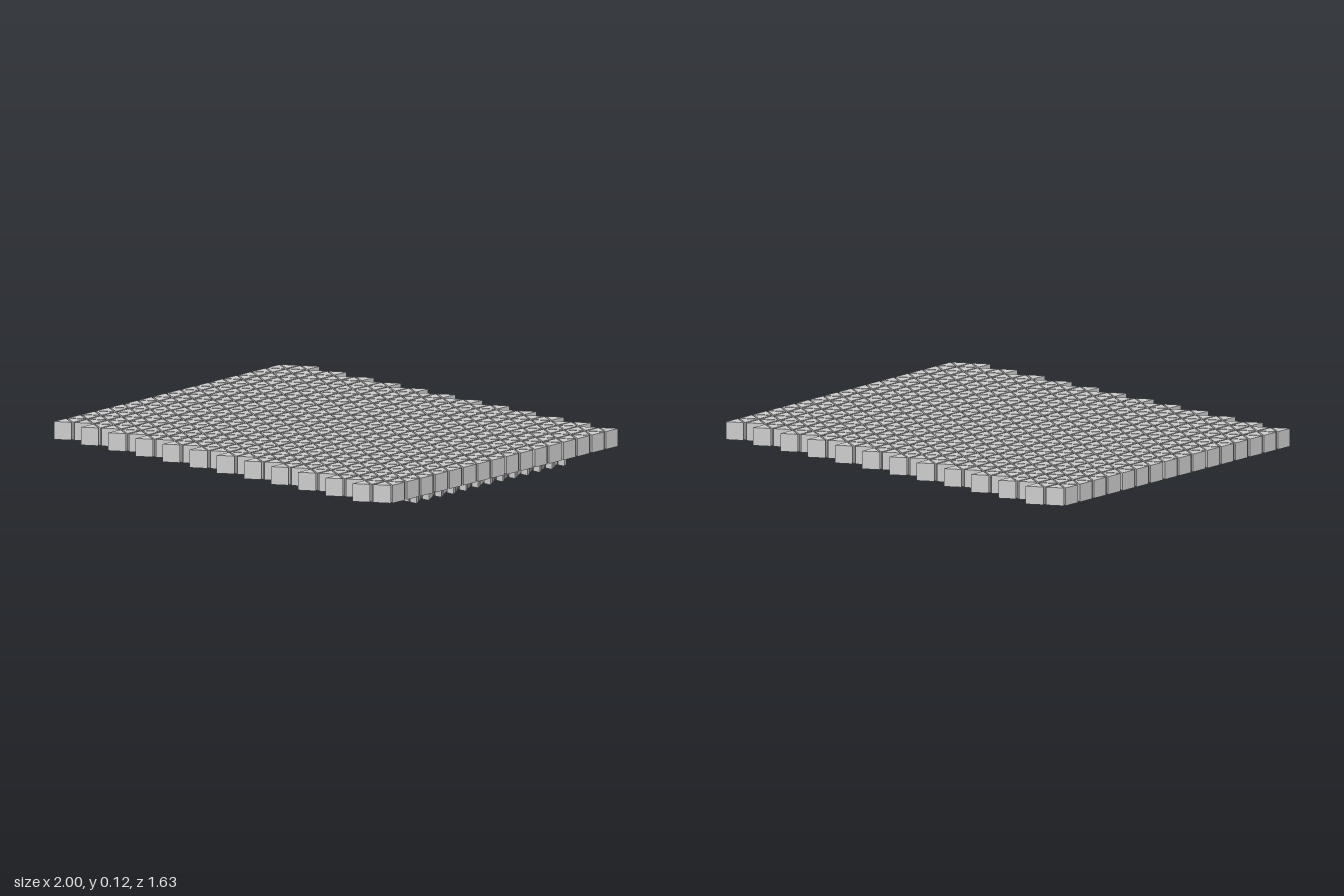
import * as THREE from 'three';
import { mergeGeometries } from 'three/addons/utils/BufferGeometryUtils.js';

const material = new THREE.MeshStandardMaterial({ color: 0xcccccc, flatShading: true });

// Field of triangular prisms: columns run along z, neighbours staggered by half a side
function triangleField(columns, pairs, side, gap, height) {
  const pitch = side * Math.sqrt(3) / 2;
  const radius = (side - Math.sqrt(3) * gap) / Math.sqrt(3);
  const prism = new THREE.CylinderGeometry(radius, radius, height, 3).toNonIndexed();
  prism.computeVertexNormals();
  const pointRight = prism.clone().rotateY(Math.PI / 2);
  const pointLeft = prism.clone().rotateY(-Math.PI / 2);
  const parts = [];
  for (let i = 0; i < columns; i++) {
    const x = (i - columns / 2) * pitch;
    const start = pairs / 2 - (i % 2) / 2;
    for (let k = 0; k < pairs; k++) {
      const z = (start - k) * side;
      parts.push(pointRight.clone().translate(x + pitch / 3, height / 2, z));
      parts.push(pointLeft.clone().translate(x + pitch * 2 / 3, height / 2, z - side / 2));
    }
  }
  return mergeGeometries(parts);
}

export function createModel() {
  const group = new THREE.Group();
  const baseHeight = 0.037;

  // Large tiles on top
  const top = new THREE.Mesh(triangleField(24, 16, 0.0966, 0.008, 0.084), material);
  top.name = 'topTiles';
  top.position.y = baseHeight;
  group.add(top);

  // Half-size tiles underneath, turned a quarter and set off centre
  const base = new THREE.Mesh(triangleField(25, 35, 0.0483, 0.005, baseHeight), material);
  base.name = 'baseTiles';
  base.rotation.y = Math.PI / 2;
  base.position.set(0.115, 0, 0.012);
  group.add(base);

  return group;
}
